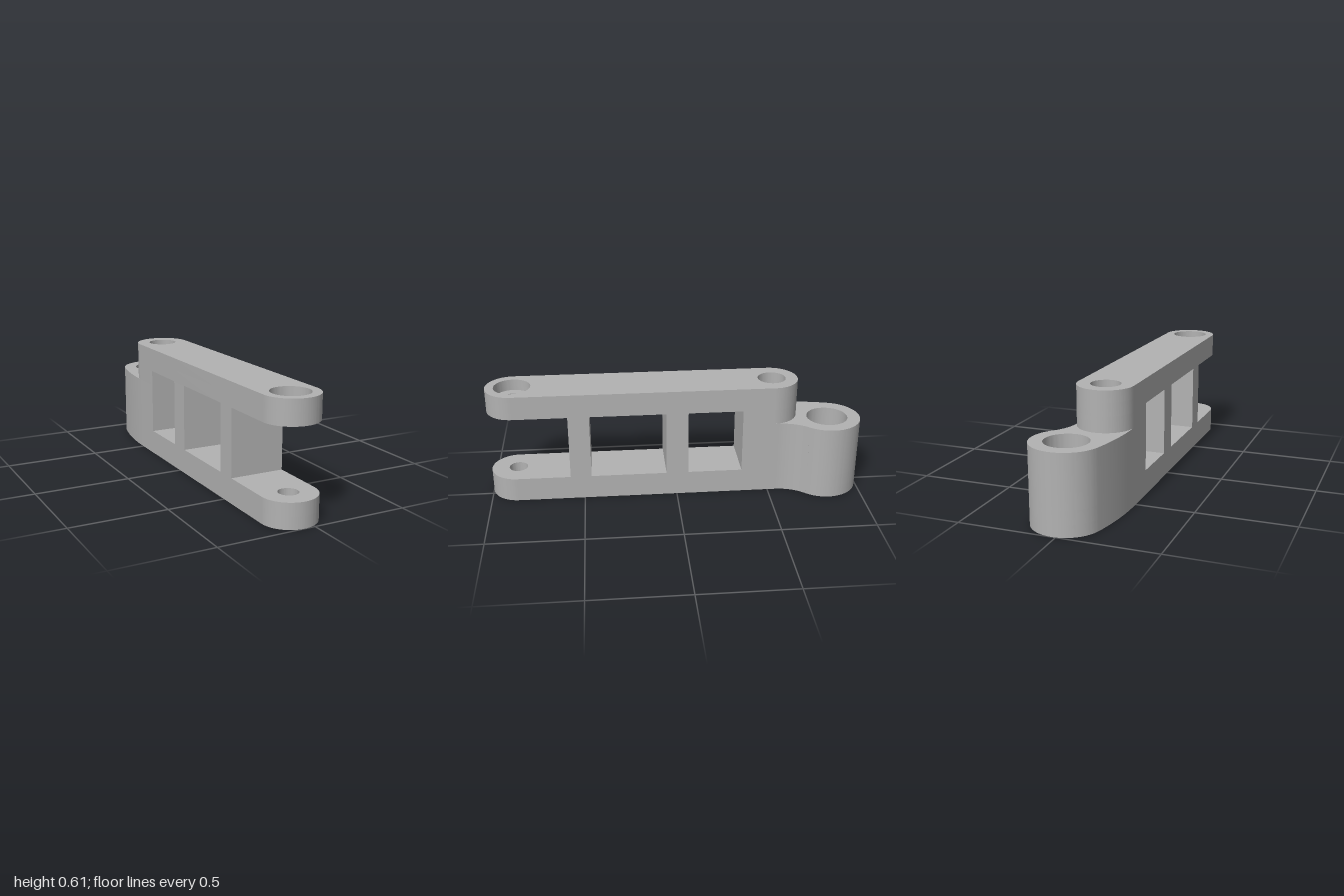
import * as THREE from 'three';
import { toCreasedNormals } from 'three/addons/utils/BufferGeometryUtils.js';

// Plan shapes are drawn in (x, s) with s = -z, then extruded upwards.
const ARM = { x: -0.0555, r: 0.1425, front: -0.8575, back: 0.52 };
const BOSS = { x: 0.018, s: 0.822, r: 0.178, hole: 0.11 };
const BLOCK_START = 0.353;
const left = ARM.x - ARM.r, right = ARM.x + ARM.r;

function circle(x, s, r) {
  return new THREE.Path().absarc(x, s, r, 0, Math.PI * 2, false);
}

function hexagon(x, s, r) {
  const points = [];
  for (let i = 0; i < 6; i++) {
    const a = i * Math.PI / 3;
    points.push(new THREE.Vector2(x + r * Math.cos(a), s + r * Math.sin(a)));
  }
  return new THREE.Path(points);
}

// Outline of the arm; optionally only its rear block, optionally with the offset boss
function outline(full, boss) {
  const shape = new THREE.Shape();
  if (full) {
    shape.moveTo(left, ARM.front);
    shape.absarc(ARM.x, ARM.front, ARM.r, Math.PI, Math.PI * 2, false);
  } else {
    shape.moveTo(left, BLOCK_START);
    shape.lineTo(right, BLOCK_START);
  }
  if (boss) {
    // concave fillet, round boss, long convex blend
    shape.lineTo(right, 0.545);
    shape.absarc(0.315, 0.545, 0.228, Math.PI, 2.391, true);
    shape.absarc(BOSS.x, BOSS.s, BOSS.r, -0.7505, 2.891, false);
    shape.absarc(1.199, 0.52, 1.397, 2.891, Math.PI, false);
    shape.holes.push(circle(BOSS.x, BOSS.s, BOSS.hole));
  } else {
    shape.lineTo(right, ARM.back);
    shape.absarc(ARM.x, ARM.back, ARM.r, 0, Math.PI, false);
  }
  shape.closePath();
  shape.holes.push(circle(ARM.x, 0.523, 0.075));
  return shape;
}

export function createModel() {
  const group = new THREE.Group();
  const grey = new THREE.MeshStandardMaterial({ color: 0xb2b2b2 });
  grey.name = 'grey';

  function add(name, geometry) {
    const mesh = new THREE.Mesh(geometry, grey);
    mesh.name = name;
    group.add(mesh);
  }

  function layer(name, shape, y0, y1, frontHole) {
    if (frontHole) shape.holes.push(frontHole);
    const geometry = new THREE.ExtrudeGeometry(shape, {
      depth: y1 - y0, bevelEnabled: false, curveSegments: 40
    });
    geometry.rotateX(-Math.PI / 2).translate(0, y0, 0);
    add(name, toCreasedNormals(geometry, 0.5));
  }

  const bolt = r => circle(ARM.x, ARM.front, r);

  // Lower plate, with a hexagonal nut pocket underneath
  layer('lowerPlateNutPocket', outline(true, true), 0, 0.06, hexagon(ARM.x, ARM.front, 0.094));
  layer('lowerPlate', outline(true, true), 0.06, 0.13, bolt(0.05));

  // Solid rear block, with the boss ending lower than the arm
  layer('rearBlockWithBoss', outline(false, true), 0.13, 0.4);
  layer('rearBlockTop', outline(false, false), 0.4, 0.48);

  // Upper plate, with a round counterbore on top
  layer('upperPlate', outline(true, false), 0.48, 0.546, bolt(0.05));
  layer('upperPlateCounterbore', outline(true, false), 0.546, 0.606, bolt(0.097));

  // Webs between the plates
  for (const [name, z0, z1] of [['frontWeb', 0.46, 0.572], ['middleWeb', -0.062, 0.056]]) {
    const box = new THREE.BoxGeometry(ARM.r * 2, 0.35, z1 - z0);
    add(name, box.translate(ARM.x, 0.305, (z0 + z1) / 2));
  }
  return group;
}
